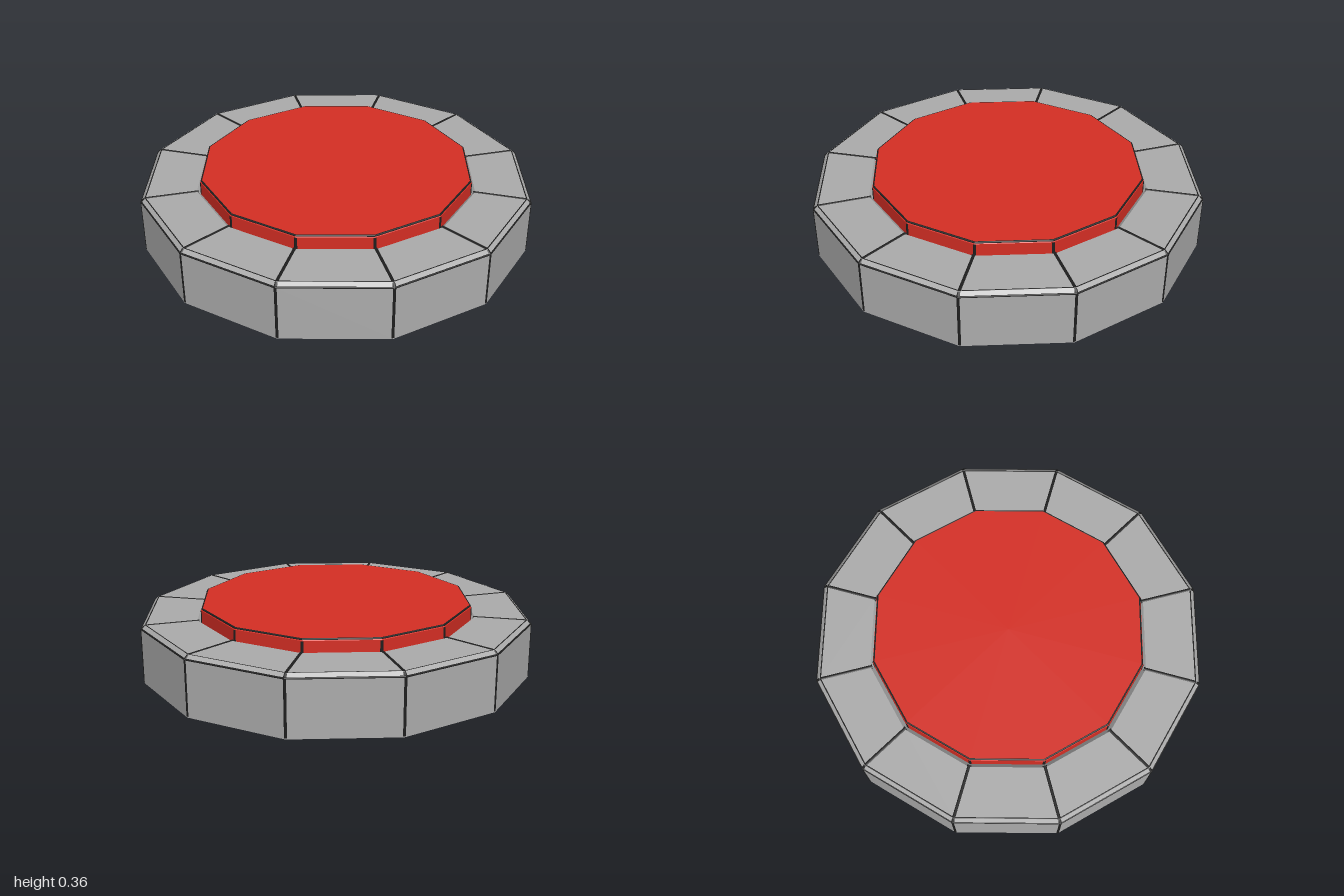
import * as THREE from 'three';
import { mergeGeometries } from 'three/addons/utils/BufferGeometryUtils.js';

const SIDES = 12;

// Point on a corner of the twelve-sided outline
function corner(i, radius, y) {
  const a = (i / SIDES) * Math.PI * 2;
  return new THREE.Vector3(Math.sin(a) * radius, y, Math.cos(a) * radius);
}

// Round bar between two points
function bar(a, b, radius) {
  const dir = b.clone().sub(a);
  const g = new THREE.CylinderGeometry(radius, radius, dir.length(), 12);
  g.applyQuaternion(new THREE.Quaternion().setFromUnitVectors(new THREE.Vector3(0, 1, 0), dir.normalize()));
  const mid = a.clone().add(b).multiplyScalar(0.5);
  return g.translate(mid.x, mid.y, mid.z);
}

// Bars running across the rim at every corner, from [r, y] to [r, y]
function ribs(from, to, radius) {
  return Array.from({ length: SIDES }, (_, i) => bar(corner(i, ...from), corner(i, ...to), radius));
}

// Bars joining neighbouring corners
function ring(r, y, radius) {
  return Array.from({ length: SIDES }, (_, i) => bar(corner(i, r, y), corner(i + 1, r, y), radius));
}

function facetedLathe(profile) {
  const points = profile.map(([r, y]) => new THREE.Vector2(r, y));
  const g = new THREE.LatheGeometry(points, SIDES).toNonIndexed();
  g.computeVertexNormals();
  return g;
}

export function createModel() {
  const group = new THREE.Group();
  const material = (name, color) => {
    const m = new THREE.MeshStandardMaterial({ color });
    m.name = name;
    return m;
  };
  const grey = material('grey', 0xacacac);
  const red = material('red', 0xd62e24);
  const black = material('black', 0x1e1e1e);

  const add = (name, geometry, mat) => {
    const mesh = new THREE.Mesh(geometry, mat);
    mesh.name = name;
    group.add(mesh);
  };

  // Grey base with bevelled outer rim and bevelled well
  add('base', facetedLathe([
    [0, 0], [1, 0], [1, 0.28], [0.98, 0.3], [0.72, 0.3], [0.7, 0.28], [0, 0.28],
  ]), grey);

  // Red push button
  add('button', facetedLathe([
    [0.7, 0.28], [0.7, 0.35], [0.69, 0.36], [0, 0.36],
  ]), red);

  // Black seams on the base: side corners, bevel corners, top spokes, rim edges
  add('baseSeams', mergeGeometries([
    ...ribs([0.99, 0.005], [0.99, 0.28], 0.011),
    ...ribs([0.99, 0.278], [0.974, 0.292], 0.011),
    ...ribs([0.974, 0.291], [0.71, 0.291], 0.012),
    ...ring(0.976, 0.295, 0.006),
    ...ring(0.996, 0.28, 0.005),
  ]), black);

  // Black seams on the button: side corners and top edge
  add('buttonSeams', mergeGeometries([
    ...ribs([0.691, 0.285], [0.691, 0.348], 0.0105),
    ...ring(0.692, 0.355, 0.0055),
  ]), black);

  return group;
}
